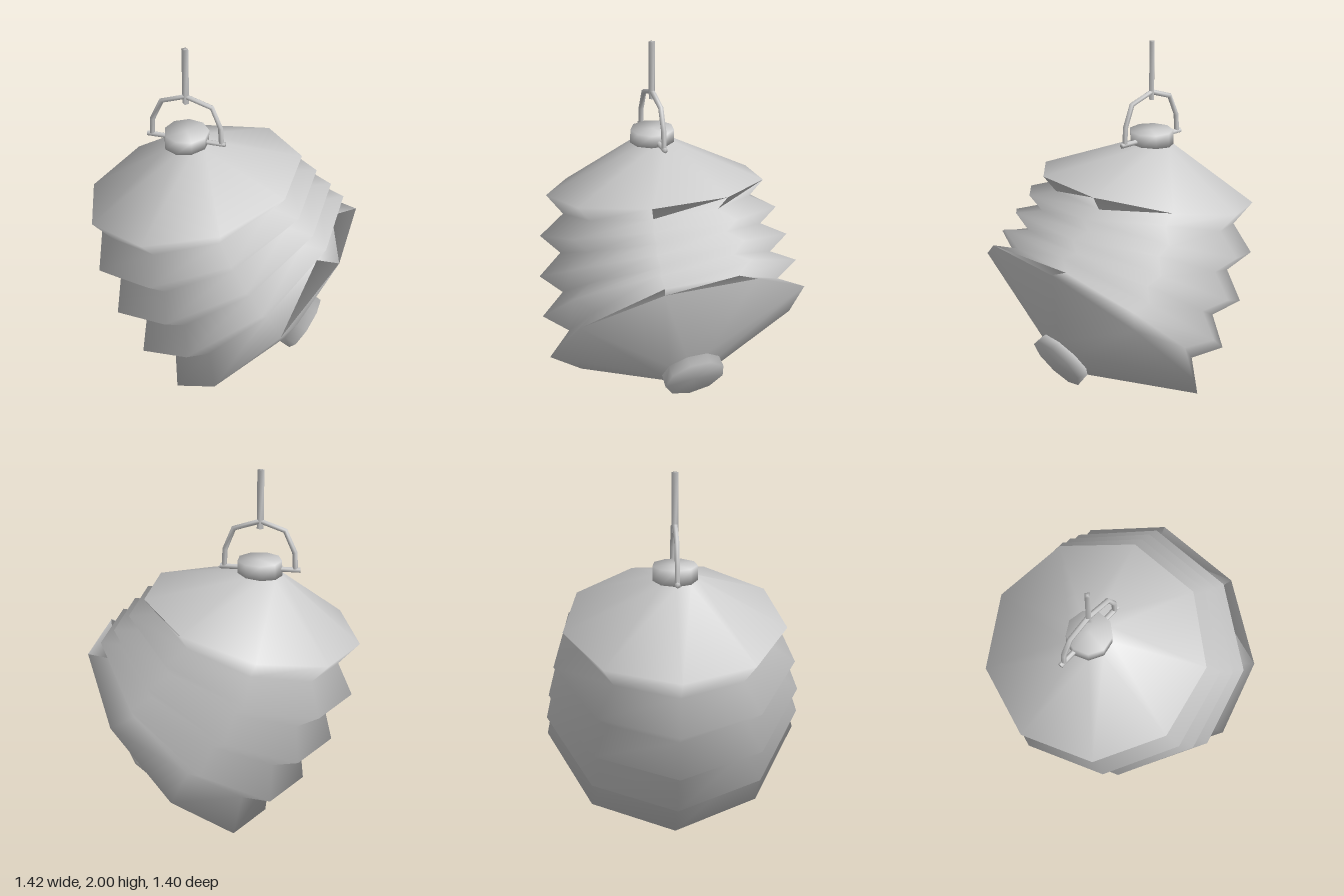
import * as THREE from 'three';

const SIDES = 9;
const material = new THREE.MeshStandardMaterial({ color: 0xcccccc, side: THREE.DoubleSide });

// Polygonal ring around (x, y); its plane holds the z axis and the direction at angle a
function ring(x, y, a, r, sides) {
  return Array.from({ length: sides }, (_, i) => {
    const t = Math.PI + (i / sides) * Math.PI * 2;
    const u = r * Math.cos(t);
    return new THREE.Vector3(x + u * Math.cos(a), y + u * Math.sin(a), r * Math.sin(t));
  });
}

// Nine-sided ring from its left corner to the middle of its right edge
function span([lx, ly, rx, ry]) {
  const a = Math.atan2(ry - ly, rx - lx);
  const r = Math.hypot(rx - lx, ry - ly) / (1 + Math.cos(Math.PI / SIDES));
  return ring(lx + r * Math.cos(a), ly + r * Math.sin(a), a, r, SIDES);
}

// Smooth skin over a row of rings, with optional end caps
function loft(name, rings, capStart, capEnd) {
  const n = rings[0].length;
  const points = rings.flat();
  const index = [];
  for (let k = 0; k < rings.length - 1; k++) {
    for (let i = 0; i < n; i++) {
      const a = k * n + i, b = k * n + (i + 1) % n;
      index.push(a, b, b + n, a, b + n, a + n);
    }
  }
  const cap = (k, flip) => {
    const c = points.length;
    const mid = new THREE.Vector3();
    rings[k].forEach(p => mid.addScaledVector(p, 1 / n));
    points.push(mid);
    for (let i = 0; i < n; i++) {
      const a = k * n + i, b = k * n + (i + 1) % n;
      if (flip) index.push(c, b, a);
      else index.push(c, a, b);
    }
  };
  if (capStart) cap(0, true);
  if (capEnd) cap(rings.length - 1, false);
  const geometry = new THREE.BufferGeometry().setFromPoints(points);
  geometry.setIndex(index);
  geometry.computeVertexNormals();
  const mesh = new THREE.Mesh(geometry, material);
  mesh.name = name;
  return mesh;
}

// Bar with mitred corners along a path in the z = 0 plane
function bar(name, path, r, sides) {
  const heading = (p, q) => new THREE.Vector2(q[0] - p[0], q[1] - p[1]).normalize();
  const rings = path.map((p, i) => {
    const before = heading(path[Math.max(i - 1, 0)], path[Math.max(i, 1)]);
    const j = Math.min(i, path.length - 2);
    const d = before.add(heading(path[j], path[j + 1]));
    return ring(p[0], p[1], Math.atan2(d.y, d.x) + Math.PI / 2, r, sides);
  });
  return loft(name, rings, true, true);
}

export function createModel() {
  const group = new THREE.Group();
  group.name = 'paperLantern';

  // Pleated body: ridges and valleys fan out as the lantern bends to one side
  const neck = [-0.29, 1.44, -0.06, 1.455];
  const foot = [0.36, 0.25, 0.53, 0.515];
  const pleats = [
    [-0.71, 1.08, 0.405, 1.34],
    [-0.6, 0.96, 0.345, 1.252],
    [-0.68, 0.78, 0.485, 1.25],
    [-0.535, 0.69, 0.43, 1.16],
    [-0.58, 0.5, 0.565, 1.168],
    [-0.41, 0.44, 0.515, 1.07],
    [-0.43, 0.24, 0.637, 1.095],
    [-0.24, 0.213, 0.587, 0.985],
    [-0.22, 0.005, 0.71, 1.025],
  ];
  group.add(loft('pleatedBody', [neck, ...pleats, foot].map(span)));

  // Collars closing both ends
  group.add(loft('topCollar', [[-0.287, 1.522, -0.058, 1.522], neck].map(span), true, true));
  group.add(loft('bottomCollar', [foot, [0.43, 0.21, 0.583, 0.492]].map(span), true, true));

  // Wire hanger
  group.add(bar('crossBar', [[-0.383, 1.475], [0.04, 1.475]], 0.014, 6));
  group.add(bar('hangerArch', [
    [-0.357, 1.475], [-0.352, 1.57], [-0.3, 1.685], [-0.17, 1.73],
    [-0.032, 1.685], [0.013, 1.57], [0.018, 1.475],
  ], 0.014, 6));
  group.add(bar('hangingRod', [[-0.17, 1.69], [-0.17, 2]], 0.018, 4));
  return group;
}
